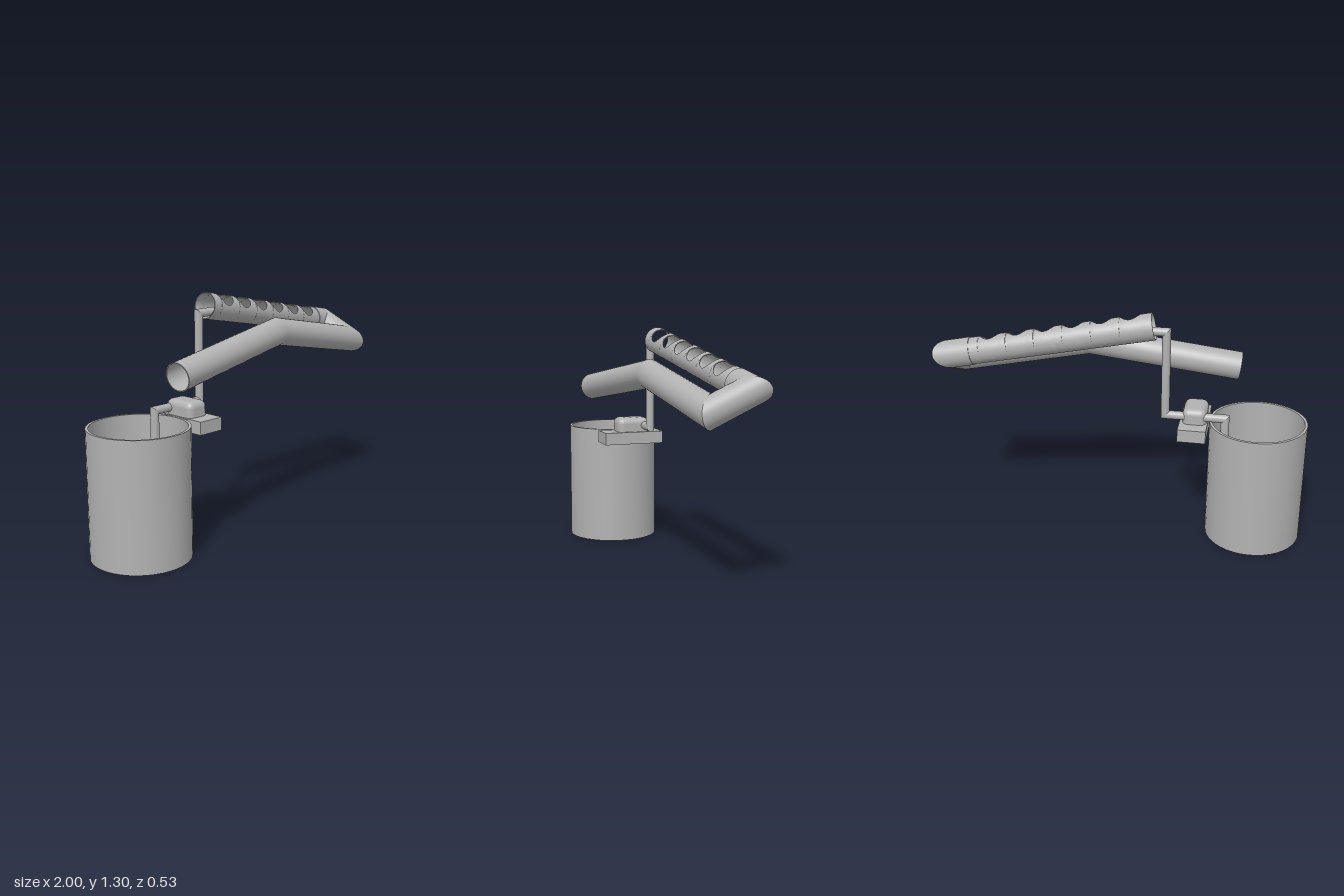
import * as THREE from 'three';
import { toCreasedNormals } from 'three/addons/utils/BufferGeometryUtils.js';
import { RoundedBoxGeometry } from 'three/addons/geometries/RoundedBoxGeometry.js';

const V = (x, y, z) => new THREE.Vector3(x, y, z);
const SIDES = 32;

// Mitred pipe along a path. inner = 0 makes it solid; cut(i) gives the
// half-width of an opening on the "up" side at path point i.
function pipeGeometry(path, outer, inner, up, cut = () => 0) {
  const dirs = path.slice(1).map((p, i) => p.clone().sub(path[i]).normalize());
  const u = up.clone().addScaledVector(dirs[0], -up.dot(dirs[0])).normalize();
  const v = dirs[0].clone().cross(u);
  const n = SIDES + 1;
  const rings = [];

  // Two axes of the section, slid along each segment onto the joint plane
  let a = u, b = v;
  path.forEach((p, i) => {
    const into = dirs[Math.max(i - 1, 0)];
    const plane = into.clone().add(dirs[Math.min(i, dirs.length - 1)]);
    const slide = (w) => w.clone().addScaledVector(into, -w.dot(plane) / into.dot(plane));
    a = slide(a);
    b = slide(b);
    const side = (r) => Array.from({ length: n }, (_, j) => {
      const gap = r > 0 ? Math.asin(Math.min(cut(i) / r, 1)) : 0;
      const t = gap + (2 * Math.PI - 2 * gap) * j / SIDES;
      return p.clone().addScaledVector(a, r * Math.cos(t)).addScaledVector(b, r * Math.sin(t));
    });
    const inside = side(inner).reverse();
    const ring = [...side(outer), ...inside];
    const cap = [...inside.slice().reverse(), ...inside];
    if (i === 0) rings.push(cap);
    rings.push(ring);
    if (i === path.length - 1) rings.push(cap);
  });

  const m = 2 * n, index = [];
  for (let i = 0; i < rings.length - 1; i++) {
    for (let j = 0; j < m; j++) {
      const k = (j + 1) % m;
      const p = i * m + j, q = i * m + k;
      index.push(p, q, q + m, p, q + m, p + m);
    }
  }
  const geo = new THREE.BufferGeometry().setFromPoints(rings.flat());
  geo.setIndex(index);
  return toCreasedNormals(geo, 0.3);
}

export function createModel() {
  const model = new THREE.Group();
  model.name = 'planterSystem';
  const grey = new THREE.MeshStandardMaterial({ color: 0xb2b2b2 });
  grey.name = 'plainGrey';
  const add = (name, geo, x = 0, y = 0, z = 0) => {
    const mesh = new THREE.Mesh(geo, grey);
    mesh.name = name;
    mesh.position.set(x, y, z);
    model.add(mesh);
  };

  // Open water tank with a thin wall and floor
  const tankProfile = [[0, 0], [0.265, 0], [0.265, 0.685], [0.25, 0.685], [0.25, 0.015], [0, 0.015]]
    .map(([r, y]) => new THREE.Vector2(r, y));
  add('waterTank', toCreasedNormals(new THREE.LatheGeometry(tankProfile, 40), 0.3), -0.735, 0, 0);

  // Pump on its base beside the rim
  add('pumpBase', new THREE.BoxGeometry(0.152, 0.07, 0.35), -0.391, 0.65, -0.006);
  add('pumpBody', new RoundedBoxGeometry(0.13, 0.14, 0.19, 5, 0.035), -0.395, 0.697, -0.01);

  // Slim pipe from the tank through the pump up to the growing tube
  const feed = [[-0.63, 0.08], [-0.56, 0.08], [-0.56, 0.721], [-0.236, 0.721], [-0.236, 1.193], [-0.12, 1.193]]
    .map(([x, y]) => V(x, y, -0.075));
  add('feedPipe', pipeGeometry(feed, 0.023, 0, V(0, 0, 1)));

  // Wide return pipe: open spout, bend, two corners and a sleeve
  const tilt = V(0, 0.906, 0.42);
  const corner = V(0.924, 1.025, -0.164);
  const mouth = V(-0.172, 1.226, -0.092);
  const along = (x) => mouth.clone().lerp(corner, (x - mouth.x) / (corner.x - mouth.x));
  const returnPath = [V(-0.613, 0.938, 0.16), V(0.21, 1.062, 0.085), V(0.924, 0.932, 0.04), corner, along(0.8)];
  add('returnPipe', pipeGeometry(returnPath, 0.076, 0.0705, tilt));

  // Growing tube with six round plant openings along its upper side
  const holeRadius = 0.057, steps = 16;
  const stations = [[mouth.x, 0]];
  for (let h = 0; h < 6; h++) {
    for (let s = 0; s <= steps; s++) {
      const t = Math.PI * s / steps;
      stations.push([-0.058 + 0.15 * h - holeRadius * Math.cos(t), holeRadius * Math.sin(t)]);
    }
  }
  stations.push([0.83, 0]);
  add('growingTube', pipeGeometry(stations.map(([x]) => along(x)), 0.0725, 0.068, tilt, (i) => stations[i][1]));

  return model;
}
